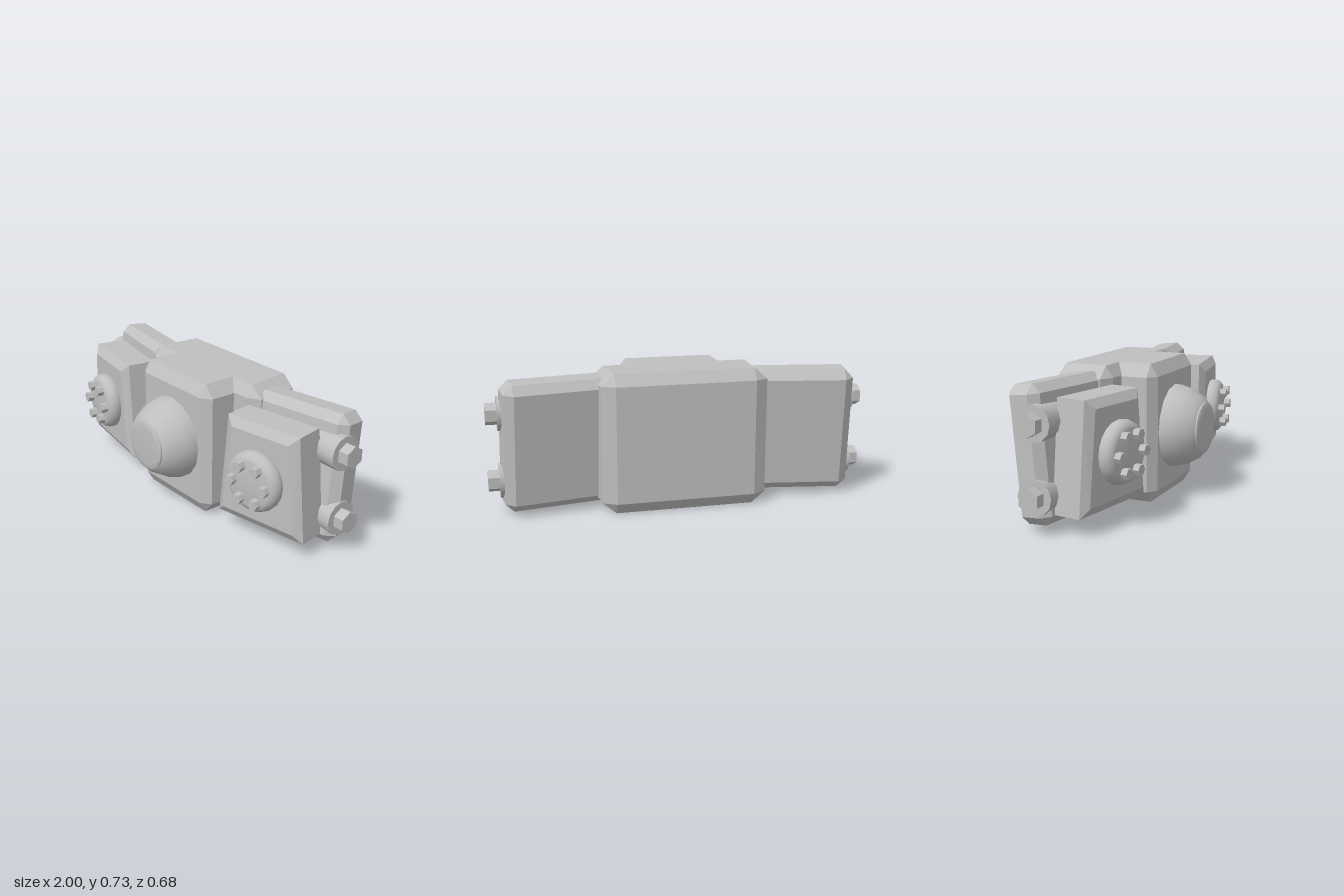
import * as THREE from 'three';
import { ConvexGeometry } from 'three/addons/geometries/ConvexGeometry.js';
import { toCreasedNormals } from 'three/addons/utils/BufferGeometryUtils.js';

const V = (x, y, z) => new THREE.Vector3(x, y, z);
const signs = [-1, 1];

// Box with every edge chamfered; the back may be narrowed by a factor
function chamferBox(w, h, d, [cx, cy, cz], backScale = 1) {
  const points = [];
  for (const i of signs) for (const j of signs) for (const k of signs) {
    const x = w / 2 * (k < 0 ? backScale : 1), y = h / 2, z = d / 2;
    points.push(
      V(i * x, j * (y - cy), k * (z - cz)),
      V(i * (x - cx), j * y, k * (z - cz)),
      V(i * (x - cx), j * (y - cy), k * z));
  }
  return new ConvexGeometry(points);
}

// Wedge-sided plate, wider at the bottom, with a bevelled front rim
function plateGeometry(top, bottom, halfHeight, depth, inset, bevel) {
  const points = [];
  for (const [z, e] of [[0, 0], [depth, 0], [depth + bevel, inset]])
    for (const s of signs)
      points.push(V(s * (top - e), halfHeight - e, z), V(s * (bottom - e), e - halfHeight, z));
  return new ConvexGeometry(points);
}

// Turned shape facing +z, from [radius, z] pairs
function turned(profile, sides) {
  const g = new THREE.LatheGeometry(profile.map(([r, z]) => new THREE.Vector2(r, z)), sides);
  return toCreasedNormals(g.rotateX(Math.PI / 2), 0.65);
}

// Cylinder or prism with a corner on its local x axis
function prism(r, length, sides) {
  const g = new THREE.CylinderGeometry(r, r, length, sides, 1, false, Math.PI / 2);
  return toCreasedNormals(g, 0.65);
}

export function createModel() {
  const model = new THREE.Group();
  const metal = new THREE.MeshStandardMaterial({ color: 0xbfbfbf });
  metal.name = 'grey metal';

  function add(parent, name, geometry, x = 0, y = 0, z = 0) {
    const mesh = new THREE.Mesh(geometry, metal);
    mesh.name = name;
    mesh.position.set(x, y, z);
    parent.add(mesh);
    return mesh;
  }

  // Centre section
  add(model, 'centreBackBlock', chamferBox(0.91, 0.73, 0.315, [0.07, 0.06, 0.04], 0.955), 0, 0.365, -0.18);
  add(model, 'centreFrontBlock', chamferBox(0.58, 0.73, 0.357, [0.055, 0.065, 0.04]), 0, 0.365, -0.0215);
  add(model, 'centreDome', turned([
    [0.226, -0.01], [0.224, 0.01], [0.207, 0.075], [0.165, 0.147], [0.137, 0.167],
    [0.137, 0.174], [0.13, 0.178], [0.108, 0.181], [0, 0.181]], 16), 0, 0.37, 0.157);

  for (const side of signs) {
    const prefix = side > 0 ? 'left' : 'right';
    const yaw = side * 0.168;

    // Swept-back wing, its top leaning to the rear
    const wing = add(model, prefix + 'Wing', chamferBox(0.56, 0.67, 0.185, [0.045, 0.045, 0.04]),
      side * 0.65, 0.367, -0.17);
    wing.rotation.set(-0.098, yaw, 0, 'YXZ');

    // Front plate with round cover
    const front = new THREE.Group();
    front.name = prefix + 'FrontAssembly';
    front.position.set(side * 0.616, 0.365, -0.057);
    front.rotation.y = yaw;
    model.add(front);
    add(front, prefix + 'Plate', plateGeometry(0.215, 0.265, 0.275, 0.155, 0.045, 0.03));
    add(front, prefix + 'RoundCover', turned([
      [0.148, -0.01], [0.158, 0.01], [0.158, 0.03], [0.15, 0.052], [0.132, 0.067],
      [0.12, 0.07], [0, 0.07]], 20), 0, 0, 0.185);

    // Ring of six hex bolts on the cover
    for (let i = 0; i < 6; i++) {
      const a = i * Math.PI / 3;
      add(front, prefix + 'CoverBolt', prism(0.028, 0.05, 6).rotateX(Math.PI / 2),
        0.1 * Math.cos(a), 0.1 * Math.sin(a), 0.265);
    }

    // Two large bolts with collars on the outer end
    for (const y of [0.18, 0.53]) {
      add(model, prefix + 'EndCollar', prism(0.09, 0.165, 12).rotateZ(Math.PI / 2), side * 0.86, y, -0.16);
      add(model, prefix + 'EndBolt', prism(0.057, 0.1, 6).rotateZ(Math.PI / 2), side * 0.95, y, -0.16);
    }
  }
  return model;
}
